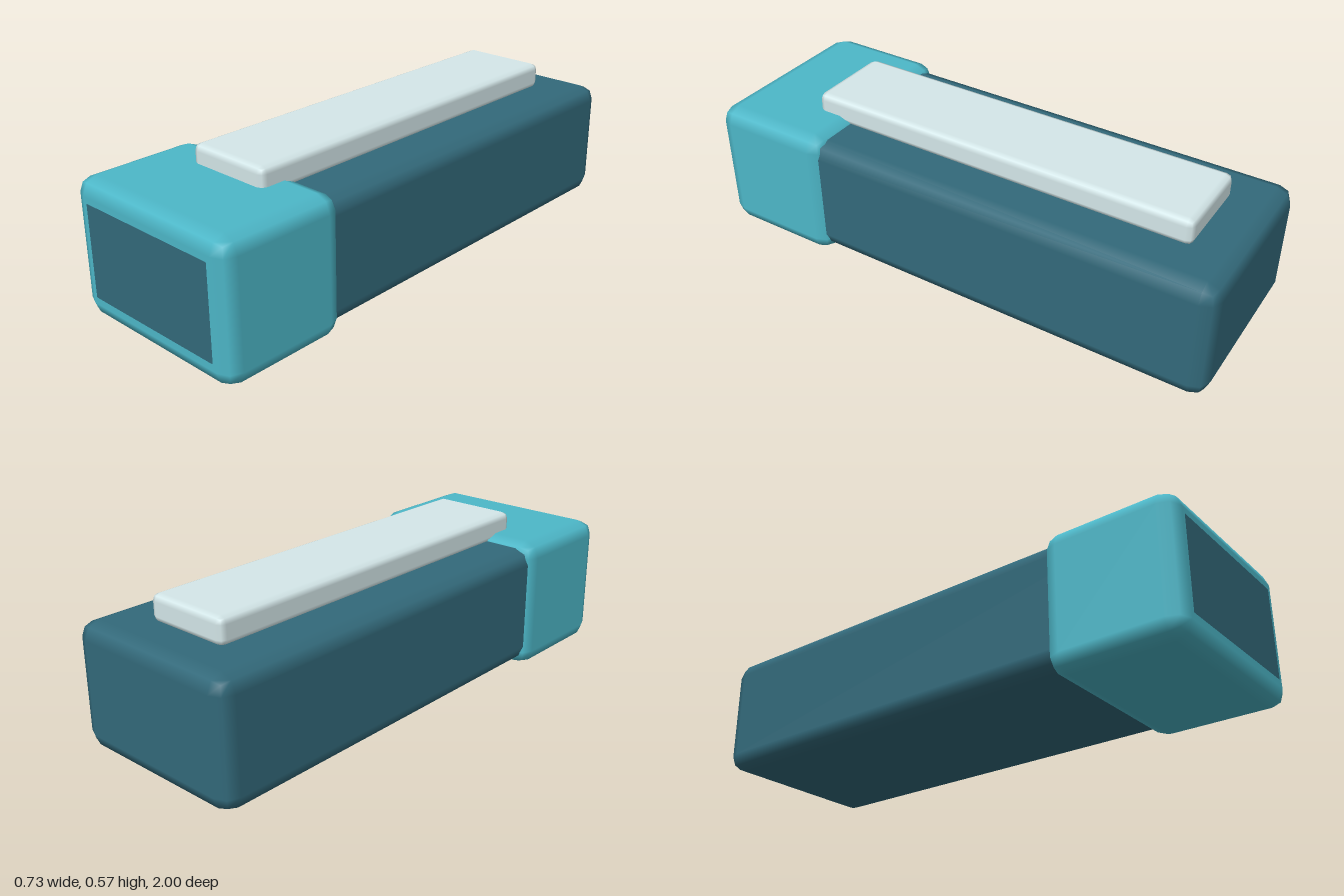
import * as THREE from 'three';
import { RoundedBoxGeometry } from 'three/addons/geometries/RoundedBoxGeometry.js';

// Softly bevelled block given by its extents on each axis
function block(name, color, [x0, x1], [y0, y1], [z0, z1], radius) {
  const geometry = new RoundedBoxGeometry(x1 - x0, y1 - y0, z1 - z0, 1, radius);
  const mesh = new THREE.Mesh(geometry, new THREE.MeshStandardMaterial({ color }));
  mesh.name = name;
  mesh.position.set((x0 + x1) / 2, (y0 + y1) / 2, (z0 + z1) / 2);
  return mesh;
}

export function createModel() {
  const group = new THREE.Group();
  group.name = 'blockModel';

  // Long body; its flat end shows as the dark panel in the front cap
  group.add(block('body', 0x336a7b, [-0.35, 0.35], [0.027, 0.477], [-1, 1.0], 0.058));

  // Wider cap around the front end, a hair behind the panel
  group.add(block('frontCap', 0x4db8c9, [-0.367, 0.367], [0, 0.5], [0.515, 0.999], 0.058));

  // Pale bar along the top, sunk into the body and cap
  group.add(block('topBar', 0xd5e8ea, [-0.167, 0.167], [0.467, 0.567], [-0.833, 0.667], 0.025));

  return group;
}
